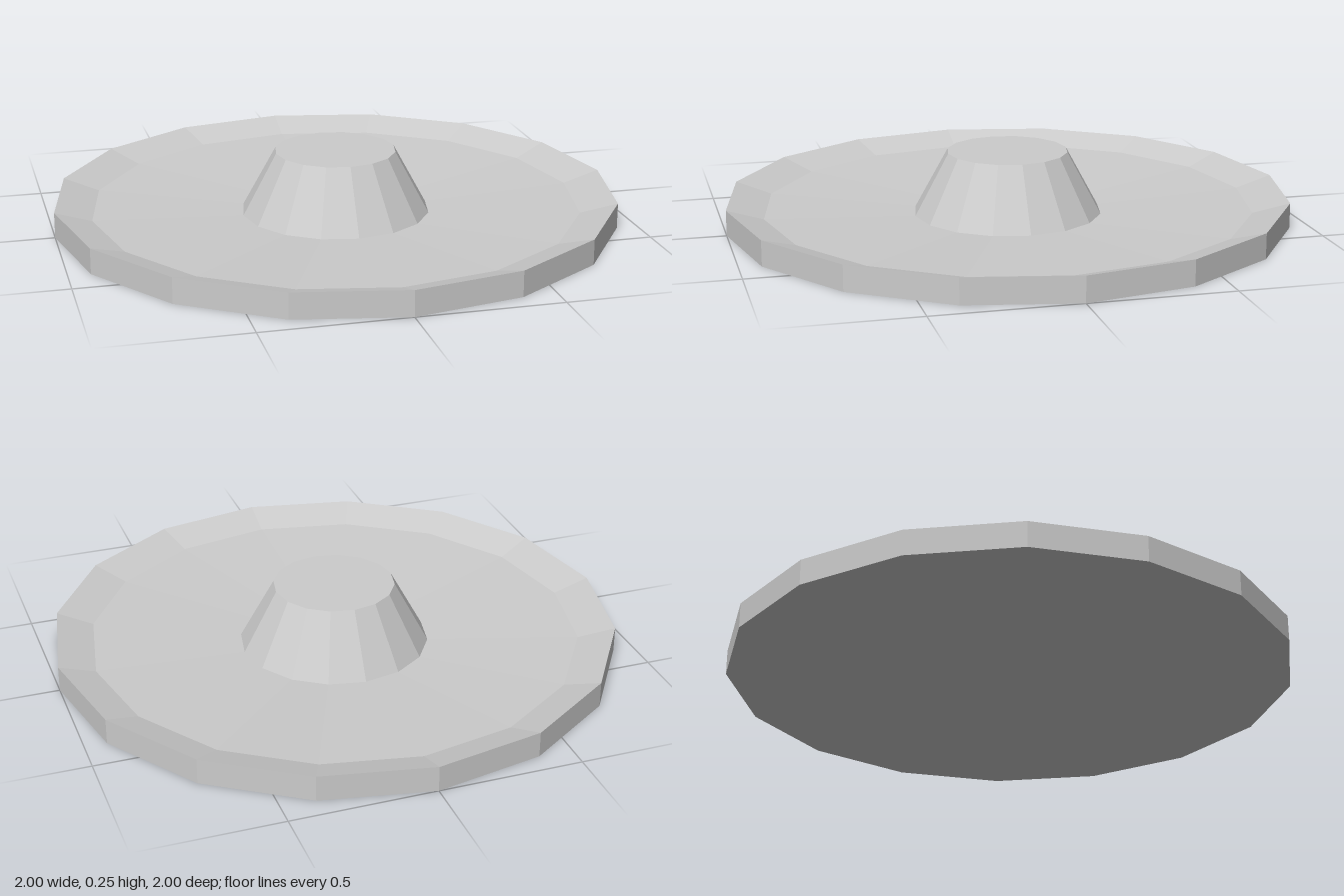
import * as THREE from 'three';

const SIDES = 16;

// Faceted solid of revolution from [radius, y] points, listed bottom to top
function turned(name, profile) {
  const points = profile.map(([r, y]) => new THREE.Vector2(r, y));
  const material = new THREE.MeshStandardMaterial({ color: 0xcccccc, flatShading: true });
  const mesh = new THREE.Mesh(new THREE.LatheGeometry(points, SIDES), material);
  mesh.name = name;
  return mesh;
}

export function createModel() {
  const group = new THREE.Group();
  group.name = 'dishWithHub';

  // Flat base, upright edge, bevelled rim and floor sinking gently to the hub
  group.add(turned('dish', [[0, 0], [1, 0], [1, 0.09], [0.87, 0.05], [0.335, 0.025]]));

  // Tapered central hub with a flat top
  group.add(turned('hub', [[0.335, 0.025], [0.215, 0.245], [0, 0.245]]));

  return group;
}
